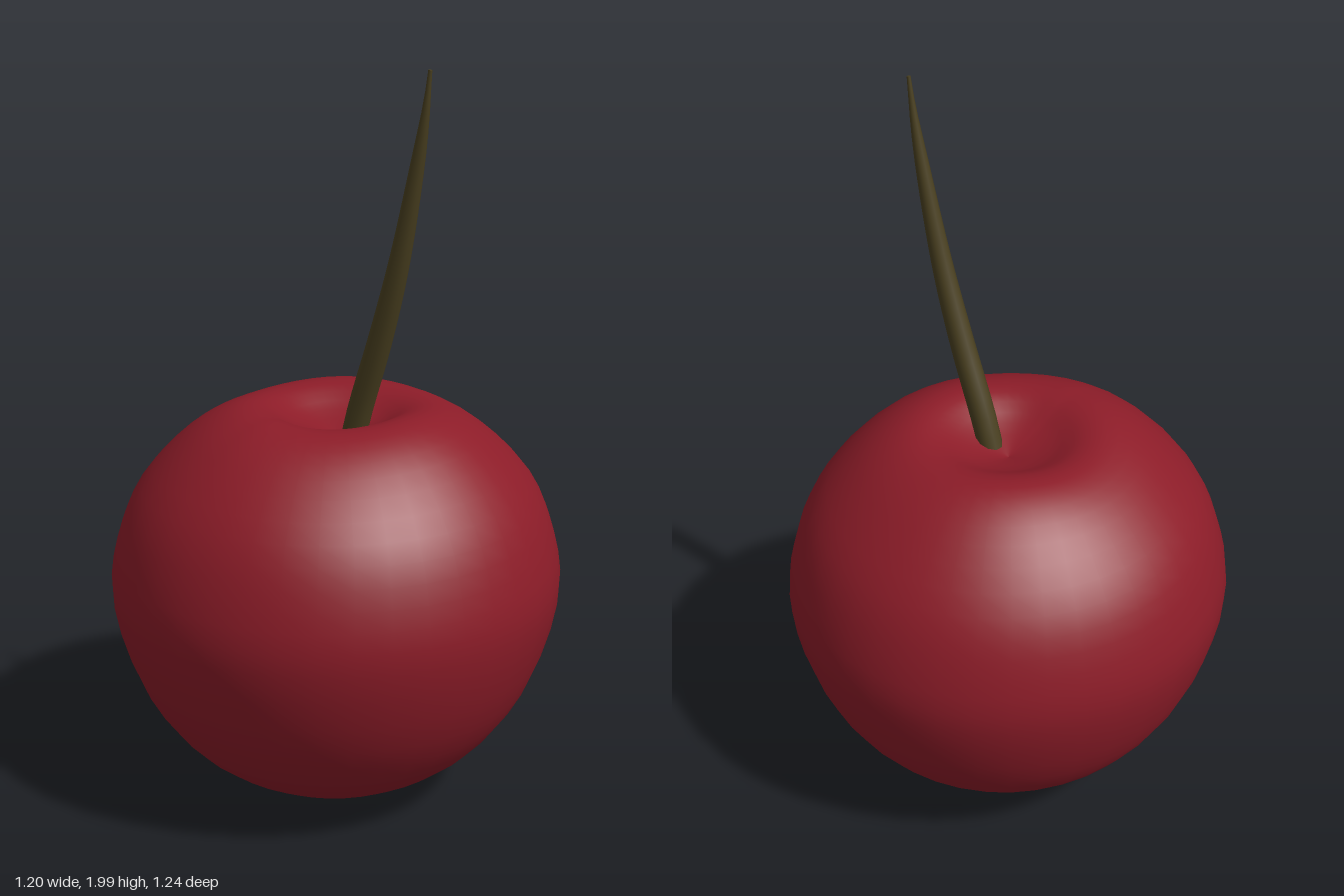
import * as THREE from 'three';

const vec2 = (list) => list.map(([x, y]) => new THREE.Vector2(x, y));

// Round fruit with a dimple at the top, slightly deeper than wide
function makeFruit() {
  const profile = new THREE.SplineCurve(vec2([
    [0, 0.005], [0.1, 0.008], [0.22, 0.04], [0.4, 0.155], [0.53, 0.335], [0.6, 0.57],
    [0.583, 0.74], [0.52, 0.89], [0.4, 1.02], [0.29, 1.085], [0.2, 1.09], [0.11, 1.045], [0, 1.01],
  ])).getPoints(36);
  profile[0].x = profile[profile.length - 1].x = 0;
  const geometry = new THREE.LatheGeometry(profile, 40);
  geometry.scale(1, 1, 1.03);

  // Gentle unevenness of the skin around the shoulder
  const p = geometry.attributes.position;
  for (let i = 0; i < p.count; i++) {
    const x = p.getX(i), y = p.getY(i), z = p.getZ(i);
    const shoulder = Math.max(0, y - 0.9) * Math.hypot(x, z);
    p.setY(i, y + 0.12 * shoulder * Math.cos(3 * Math.atan2(z, x) + 0.6));
  }
  const normals = geometry.attributes.normal.clone();
  geometry.computeVertexNormals();
  // Keep the lathe normals along the seam so that it stays invisible
  const rows = profile.length;
  for (let i = 0; i < p.count; i++) {
    const column = Math.floor(i / rows);
    if (column === 0 || column === 40 || i % rows === 0 || i % rows === rows - 1) {
      geometry.attributes.normal.setXYZ(i, normals.getX(i), normals.getY(i), normals.getZ(i));
    }
  }
  const mesh = new THREE.Mesh(geometry, new THREE.MeshStandardMaterial({ color: 0x8c1c28 }));
  mesh.name = 'fruit';
  return mesh;
}

// Curved stem: a tube whose rings shrink towards the tip
function makeStem() {
  const path = new THREE.CatmullRomCurve3([
    [0.062, 1.0], [0.093, 1.1], [0.168, 1.3], [0.233, 1.5], [0.288, 1.72], [0.325, 1.9], [0.338, 1.997],
  ].map(([x, y]) => new THREE.Vector3(x, y, 0)));
  const radius = new THREE.SplineCurve(vec2([
    [0, 0.034], [0.25, 0.034], [0.5, 0.031], [0.75, 0.025], [0.92, 0.017], [1, 0.005],
  ]));
  const steps = 20, sides = 10;
  const geometry = new THREE.TubeGeometry(path, steps, 1, sides, false);
  const p = geometry.attributes.position;
  const v = new THREE.Vector3();
  for (let i = 0; i <= steps; i++) {
    const centre = path.getPointAt(i / steps);
    const r = radius.getPoint(i / steps).y;
    for (let j = 0; j <= sides; j++) {
      const k = i * (sides + 1) + j;
      v.fromBufferAttribute(p, k).sub(centre).multiplyScalar(r).add(centre);
      p.setXYZ(k, v.x, v.y, v.z);
    }
  }
  const material = new THREE.MeshStandardMaterial({ color: 0x4a4020 });
  const group = new THREE.Group();
  group.name = 'stem';
  const stalk = new THREE.Mesh(geometry, material);
  stalk.name = 'stalk';
  group.add(stalk);

  // Close both ends
  [[0, 0.034, -1], [1, 0.005, 1]].forEach(([t, r, sign]) => {
    const cap = new THREE.Mesh(new THREE.CircleGeometry(r, sides), material);
    cap.name = t ? 'stemTip' : 'stemBase';
    cap.position.copy(path.getPointAt(t));
    cap.quaternion.setFromUnitVectors(
      new THREE.Vector3(0, 0, 1), path.getTangentAt(t).multiplyScalar(sign));
    group.add(cap);
  });
  return group;
}

export function createModel() {
  const model = new THREE.Group();
  model.name = 'cherry';
  model.add(makeFruit(), makeStem());
  return model;
}
